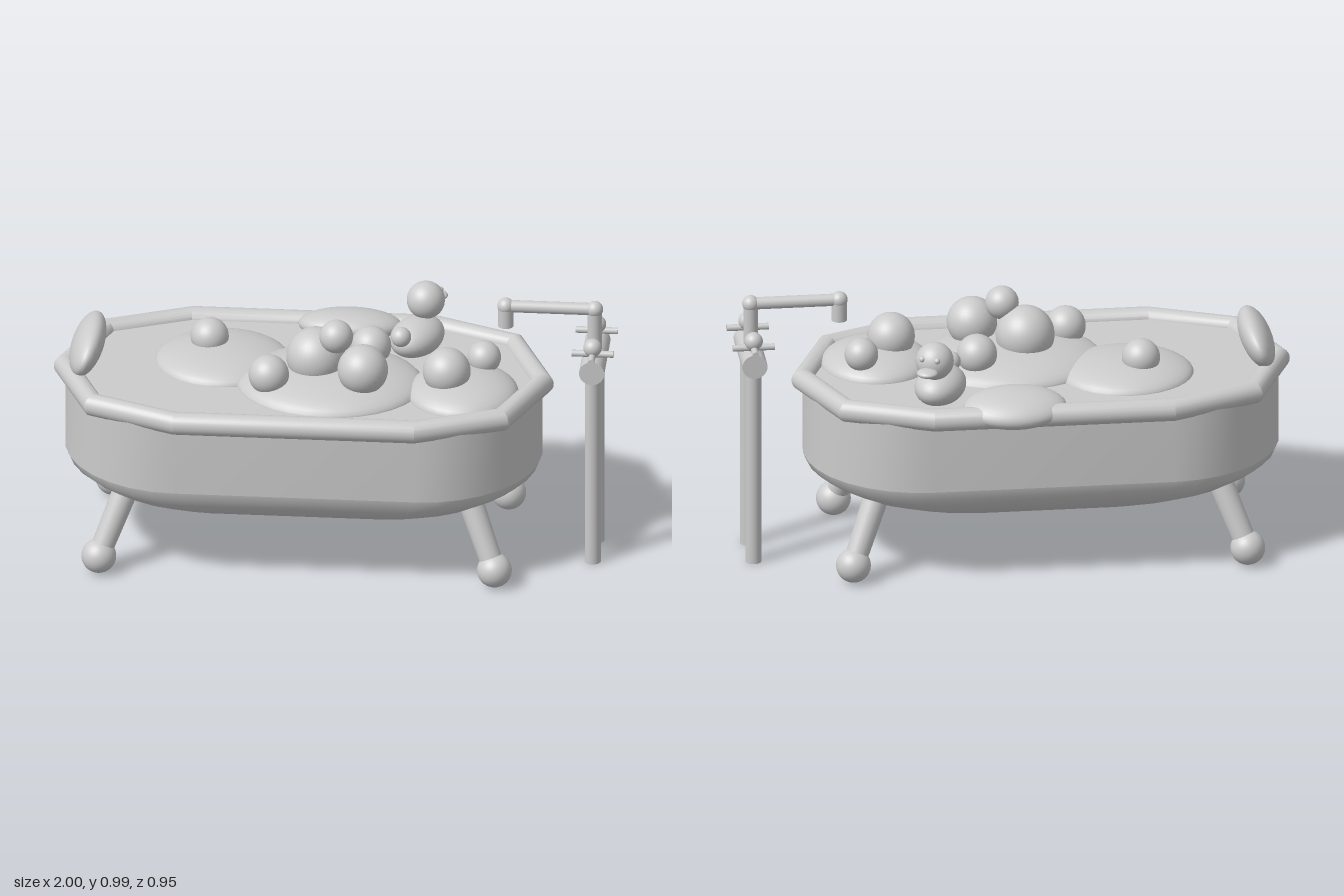
import * as THREE from 'three';
import { toCreasedNormals } from 'three/addons/utils/BufferGeometryUtils.js';

const grey = new THREE.MeshStandardMaterial({ color: 0xcccccc });
const TUB_X = -0.115, TUB_Z = 0.02, HALF_STRAIGHT = 0.43, RADIUS = 0.42;

function add(parent, name, geometry, position = [0, 0, 0]) {
  const mesh = new THREE.Mesh(geometry, grey);
  mesh.name = name;
  mesh.position.set(...position);
  parent.add(mesh);
  return mesh;
}

function ball(parent, name, position, r, scale = [1, 1, 1]) {
  const mesh = add(parent, name, new THREE.SphereGeometry(r, 32, 20), position);
  mesh.scale.set(...scale);
  return mesh;
}

// Cylinder between two points
function rod(parent, name, from, to, r0, r1 = r0) {
  const a = new THREE.Vector3(...from), b = new THREE.Vector3(...to);
  const dir = b.clone().sub(a);
  const mesh = add(parent, name, new THREE.CylinderGeometry(r1, r0, dir.length(), 24));
  mesh.position.copy(a).add(b).multiplyScalar(0.5);
  mesh.quaternion.setFromUnitVectors(new THREE.Vector3(0, 1, 0), dir.normalize());
  return mesh;
}

// Closed stadium outline with n facets on each round end
function stadium(n, y, half, r) {
  const points = [];
  for (const start of [-Math.PI / 2, Math.PI / 2]) {
    const cx = start < 0 ? half : -half;
    for (let i = 0; i <= n; i++) {
      const t = start + (i / n) * Math.PI;
      points.push([cx + r * Math.cos(t), y, r * Math.sin(t)]);
    }
  }
  return points;
}

// Skin over a stack of equal outlines
function loft(rings, crease) {
  const n = rings[0].length, index = [];
  for (let i = 0; i < rings.length - 1; i++) {
    for (let j = 0; j < n; j++) {
      const a = i * n + j, b = i * n + (j + 1) % n;
      index.push(a, a + n, b, b, a + n, b + n);
    }
  }
  const g = new THREE.BufferGeometry();
  g.setAttribute('position', new THREE.Float32BufferAttribute(rings.flat(2), 3));
  g.setIndex(index);
  return toCreasedNormals(g, crease);
}

function makeTub() {
  const tub = new THREE.Group();
  tub.name = 'tub';
  tub.position.set(TUB_X, 0, TUB_Z);
  const scaled = ([s, y]) => stadium(16, y, HALF_STRAIGHT * s, RADIUS * s);

  // Bowl and wall
  const profile = [[0, 0.155], [0.2, 0.162], [0.4, 0.182], [0.56, 0.21], [0.72, 0.243],
    [0.86, 0.28], [0.94, 0.315], [0.985, 0.345], [1, 0.375]];
  add(tub, 'bowl', loft(profile.map(scaled), 0.6));
  add(tub, 'wall', loft([[1, 0.375], [1, 0.665]].map(scaled), 0.6));
  add(tub, 'water', loft([[1, 0.665], [0, 0.665]].map(scaled), 0.6));

  // Faceted rolled rim
  const rim = [];
  for (let i = 0; i <= 24; i++) {
    const a = (i / 24) * Math.PI * 2;
    rim.push(stadium(4, 0.655 + 0.041 * Math.sin(a), HALF_STRAIGHT, RADIUS + 0.041 * Math.cos(a)));
  }
  add(tub, 'rim', loft(rim, 0.35));

  // Splayed legs with ball feet
  for (const sx of [-1, 1]) for (const sz of [-1, 1]) {
    const foot = [sx * 0.705, 0.063, sz * 0.31];
    rod(tub, 'leg', foot, [sx * 0.62, 0.28, sz * 0.24], 0.04, 0.045);
    ball(tub, 'foot', foot, 0.062);
  }
  return tub;
}

function makeFoam() {
  const foam = new THREE.Group();
  foam.name = 'foam';
  // Flat patches: centre, then radii
  const patches = [
    [[-0.41, 0.66, -0.06], [0.243, 0.065, 0.225]],
    [[-0.015, 0.66, 0.095], [0.335, 0.08, 0.283]],
    [[0.46, 0.66, 0.13], [0.2, 0.075, 0.21]],
  ];
  for (const [p, s] of patches) ball(foam, 'foamPatch', p, 1, s);
  // Round bubbles: x, y, z, radius
  const bubbles = [[-0.46, 0.735, -0.1, 0.068], [-0.225, 0.742, 0.2, 0.072],
    [-0.067, 0.765, 0.085, 0.105], [0.01, 0.87, 0.135, 0.06], [0.11, 0.775, 0.2, 0.09],
    [0.12, 0.75, -0.04, 0.072], [0.405, 0.755, 0.148, 0.085], [0.527, 0.747, 0.01, 0.06]];
  for (const [x, y, z, r] of bubbles) ball(foam, 'bubble', [x, y, z], r);
  return foam;
}

// Toy duck, built facing +z and then turned
function makeDuck() {
  const duck = new THREE.Group();
  duck.name = 'toyDuck';
  duck.position.set(0.27, 0, -0.21);
  duck.rotation.y = Math.PI - 0.445;
  ball(duck, 'duckBody', [0, 0.71, 0], 1, [0.088, 0.068, 0.122]);
  ball(duck, 'duckHead', [0, 0.827, 0.062], 0.068);
  ball(duck, 'duckBeak', [0, 0.811, 0.143], 1, [0.038, 0.015, 0.036]);
  ball(duck, 'duckTail', [0, 0.755, -0.113], 0.036);
  for (const s of [-1, 1]) ball(duck, 'duckEye', [s * 0.028, 0.851, 0.117], 0.011);
  return duck;
}

function makeTap() {
  const tap = new THREE.Group();
  tap.name = 'tap';
  tap.position.set(0.922, 0, 0.02);

  // Supply pipes and valve body
  for (const z of [-0.085, 0.085]) rod(tap, 'supplyPipe', [0, 0, z], [0, 0.735, z], 0.0285);
  rod(tap, 'valveBody', [0, 0.77, -0.138], [0, 0.77, 0.138], 0.045);

  // Cross handles
  for (const z of [-0.094, 0.094]) {
    rod(tap, 'handleStem', [0, 0.8, z], [0, 0.85, z], 0.014);
    rod(tap, 'handleBar', [-0.075, 0.828, z], [0.075, 0.828, z], 0.012);
    rod(tap, 'handleBar', [0, 0.828, z - 0.075], [0, 0.828, z + 0.075], 0.012);
    ball(tap, 'handleKnob', [0, 0.852, z], 0.033);
  }

  // Spout
  rod(tap, 'riser', [0, 0.8, 0], [0, 0.958, 0], 0.026);
  rod(tap, 'spoutArm', [0, 0.958, 0], [-0.317, 0.958, 0], 0.022);
  rod(tap, 'spoutOutlet', [-0.317, 0.958, 0], [-0.317, 0.88, 0], 0.028);
  for (const x of [0, -0.317]) ball(tap, 'spoutElbow', [x, 0.958, 0], 0.03);
  return tap;
}

export function createModel() {
  const model = new THREE.Group();
  model.name = 'bathtub';
  model.add(makeTub(), makeFoam(), makeDuck(), makeTap());

  // Headrest pillow and sponge resting on the rim
  ball(model, 'headrest', [-0.885, 0.745, 0.015], 1, [0.055, 0.1, 0.185]).rotation.z = -0.42;
  ball(model, 'sponge', [0.02, 0.673, -0.355], 1, [0.185, 0.058, 0.118]).rotation.x = -0.2;
  return model;
}
